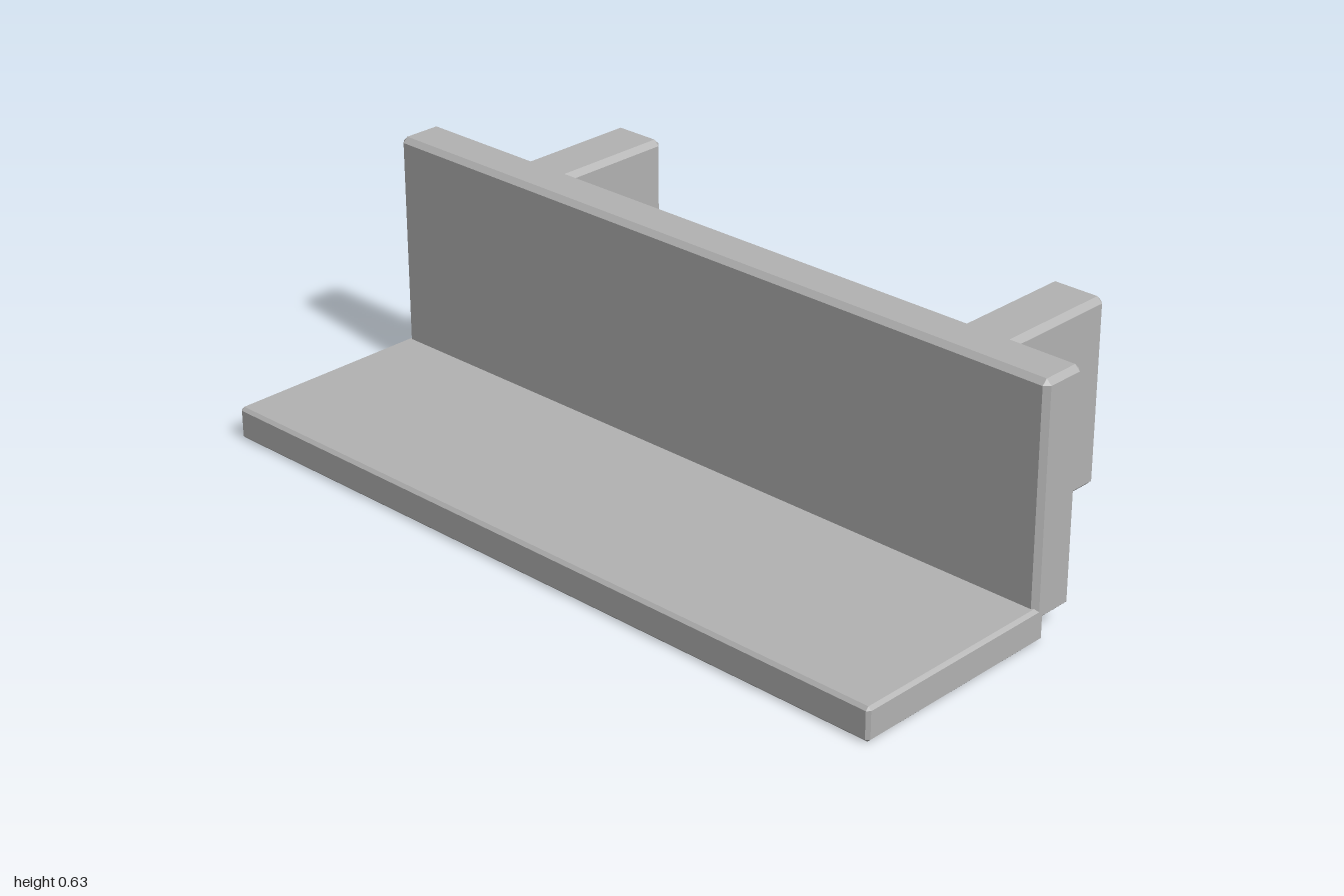
import * as THREE from 'three';
import { ConvexGeometry } from 'three/addons/geometries/ConvexGeometry.js';

// Box between two corners with all edges chamfered by b
function chamferBox(min, max, b) {
  const c = min.map((v, i) => (v + max[i]) / 2);
  const h = max.map((v, i) => (v - min[i]) / 2);
  const points = [];
  for (const sx of [-1, 1]) for (const sy of [-1, 1]) for (const sz of [-1, 1]) {
    for (let axis = 0; axis < 3; axis++) {
      const p = [sx, sy, sz].map((s, i) => c[i] + s * (h[i] - (i === axis ? 0 : b)));
      points.push(new THREE.Vector3(...p));
    }
  }
  return new ConvexGeometry(points);
}

export function createModel() {
  const group = new THREE.Group();
  const grey = new THREE.MeshStandardMaterial({ color: 0xb2b2b2 });
  grey.name = 'plain grey';

  const add = (name, min, max, b) => {
    const mesh = new THREE.Mesh(chamferBox(min, max, b), grey);
    mesh.name = name;
    group.add(mesh);
  };

  // Flat seat board and upright back board, overlapping at the joint
  add('seatBoard', [-1, 0, -0.042], [1, 0.084, 0.535], 0.008);
  add('backBoard', [-1, 0.05, -0.132], [1, 0.627, -0.01], 0.013);

  // Two blocks behind the back board
  for (const [name, x] of [['leftBlock', 0.686], ['rightBlock', -0.686]]) {
    add(name, [x - 0.073, 0.103, -0.535], [x + 0.073, 0.575, -0.1], 0.014);
  }
  return group;
}
